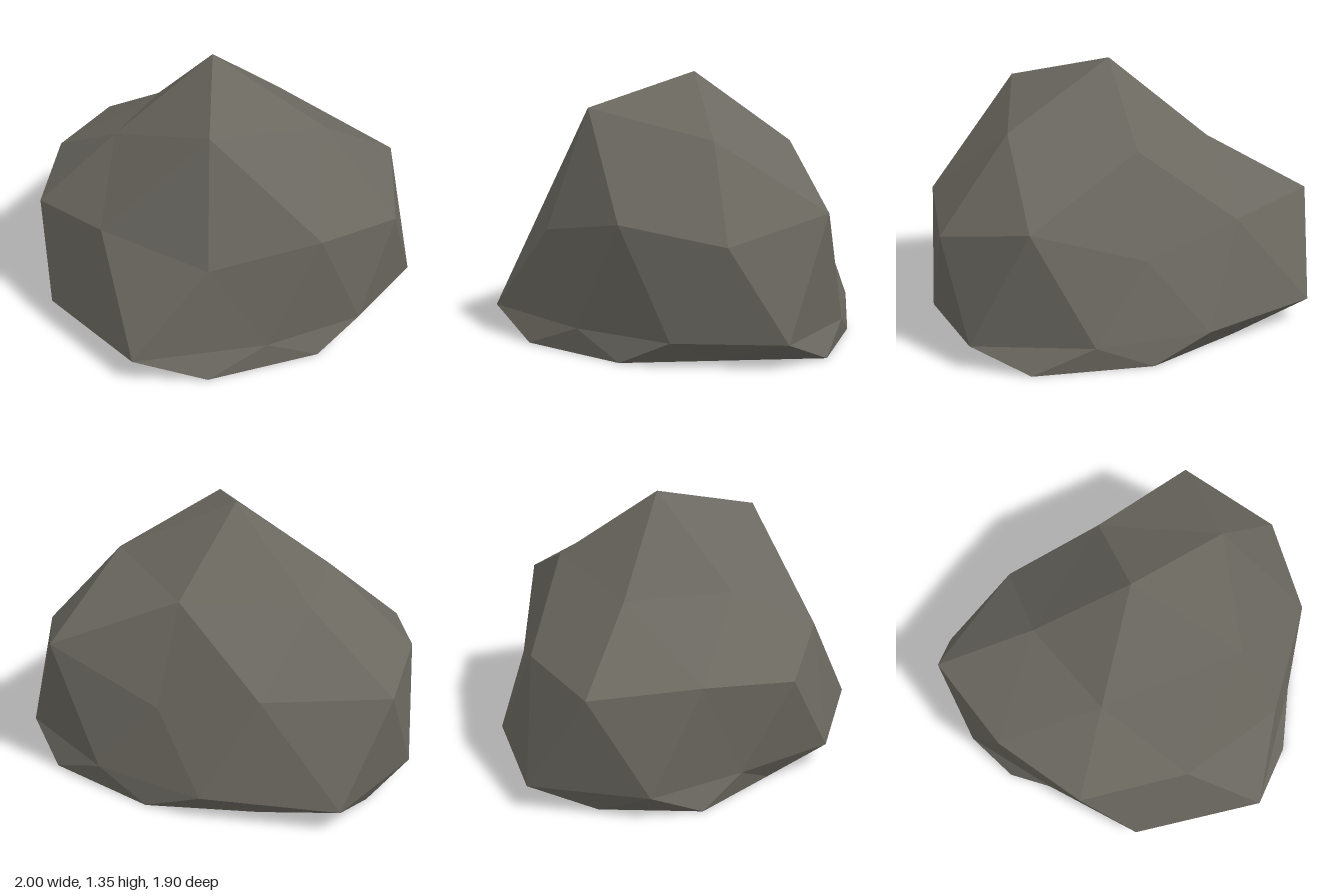
import * as THREE from 'three';

// A low-poly boulder: an icosphere layout of rings, each point pushed
// outward by its own radius, with the underside cut flat at y = 0.
const CENTRE = { x: -0.04, y: 0.125, z: -0.11 };
const SCALE_Y = 0.92;
const SCALE_Z = 0.86;

// Radii around the vertical axis, turning from +x towards +z
const SHOULDER = [0.62, 0.71, 0.544, 0.54, 0.585];
const UPPER = [1.02, 0.964, 0.98, 0.94, 0.975, 0.92, 1.10, 0.874, 0.81, 1.038];
const WAIST = [0.973, 0.97, 1.23, 1.054, 0.852, 1.01, 1.173, 0.983, 0.963, 1.094];
const BASE = [0.81, 0.966, 1.10, 0.94, 0.81, 0.92, 0.96, 0.874, 0.95, 1.038];

// slope(i) is height gained per unit of radius; heights stop at the ground
function ring(radii, startDeg, slope) {
  return radii.map((r, i) => {
    const a = THREE.MathUtils.degToRad(startDeg + (i * 360) / radii.length);
    return new THREE.Vector3(
      CENTRE.x + r * Math.cos(a),
      Math.max(0, CENTRE.y + SCALE_Y * r * slope(i)),
      CENTRE.z + SCALE_Z * r * Math.sin(a)
    );
  });
}

function boulderGeometry() {
  const GOLDEN = 1.618;
  const apex = new THREE.Vector3(CENTRE.x, 1.35, CENTRE.z);
  const shoulder = ring(SHOULDER, 0, () => GOLDEN);
  const upper = ring(UPPER, 0, (i) => (i % 2 ? 1 / GOLDEN : 0.5));
  const waist = ring(WAIST, 18, () => 0);
  const base = ring(BASE, 0, () => -0.5);
  const bottom = new THREE.Vector3(CENTRE.x, 0, CENTRE.z);

  const points = [];
  const tri = (a, b, c) => points.push(a, b, c);

  // Crown
  for (let k = 0; k < 5; k++) {
    const s = shoulder[k];
    const next = shoulder[(k + 1) % 5];
    const corner = upper[2 * k];
    const after = upper[2 * k + 1];
    const before = upper[(2 * k + 9) % 10];
    tri(apex, next, s);
    tri(s, next, after);
    tri(s, after, corner);
    tri(s, corner, before);
  }
  // Flanks, tapered foot and flat underside
  for (let j = 0; j < 10; j++) {
    const n = (j + 1) % 10;
    tri(upper[j], upper[n], waist[j]);
    tri(waist[j], upper[n], waist[n]);
    tri(waist[j], base[n], base[j]);
    tri(waist[j], waist[n], base[n]);
    tri(bottom, base[j], base[n]);
  }
  const geometry = new THREE.BufferGeometry().setFromPoints(points);
  geometry.computeVertexNormals();
  return geometry;
}

export function createModel() {
  const stone = new THREE.MeshStandardMaterial({ color: 0x6b6860 });
  stone.name = 'stone grey';
  stone.flatShading = true;

  const boulder = new THREE.Mesh(boulderGeometry(), stone);
  boulder.name = 'boulder';

  const model = new THREE.Group();
  model.name = 'rock';
  model.add(boulder);
  return model;
}
